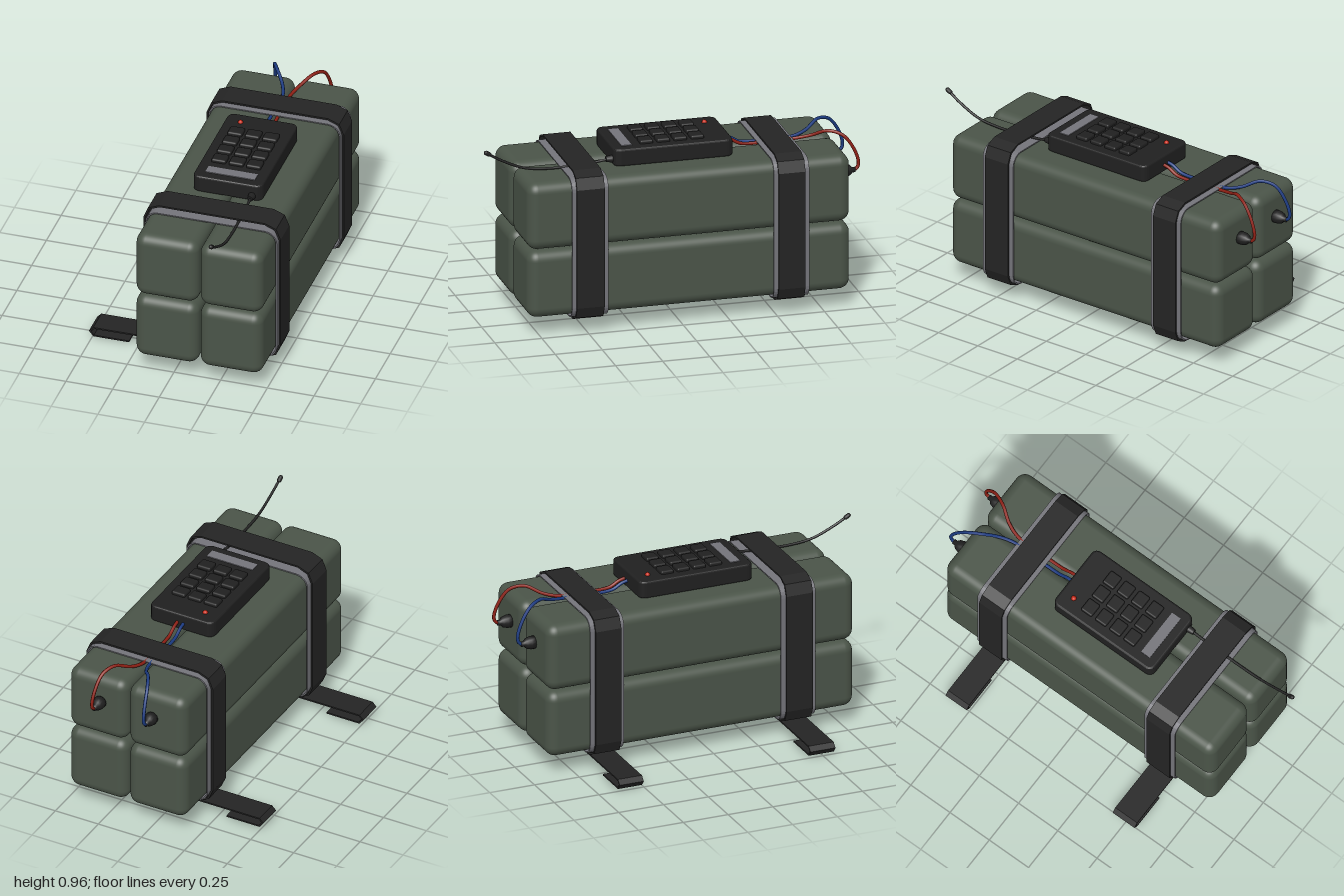
import * as THREE from 'three';
import { RoundedBoxGeometry } from 'three/addons/geometries/RoundedBoxGeometry.js';

const mat = (name, color) => Object.assign(new THREE.MeshStandardMaterial({ color }), { name });

// Points of a rectangle with rounded corners; n = segments per corner
function roundedRect(x0, x1, y0, y1, r, n) {
  const pts = [];
  const centres = [[x1 - r, y1 - r], [x0 + r, y1 - r], [x0 + r, y0 + r], [x1 - r, y0 + r]];
  centres.forEach(([cx, cy], c) => {
    for (let i = 0; i <= n; i++) {
      const a = (c + i / n) * Math.PI / 2;
      pts.push(new THREE.Vector2(cx + r * Math.cos(a), cy + r * Math.sin(a)));
    }
  });
  return pts;
}

// Thin band around the blocks, spanning z0..z1
function band(x0, x1, y0, y1, r, n, t, z0, z1) {
  const shape = new THREE.Shape(roundedRect(x0, x1, y0, y1, r, n));
  shape.holes.push(new THREE.Path(roundedRect(x0 + t, x1 - t, y0 + t, y1 - t, r - t * 0.6, n)));
  return new THREE.ExtrudeGeometry(shape, { depth: z1 - z0, bevelEnabled: false }).translate(0, 0, z0);
}

export function createModel() {
  const model = new THREE.Group();
  model.name = 'strappedBlockPack';
  const green = mat('olive green', 0x4a5448);
  const black = mat('strap black', 0x242424);
  const dark = mat('casing black', 0x202020);
  const grey = mat('liner grey', 0x74747a);
  const red = mat('wire red', 0x8c1f14);
  const blue = mat('wire blue', 0x1b3a80);
  const lamp = mat('lamp red', 0xc82a18);

  const add = (name, geo, material, x = 0, y = 0, z = 0, parent = model) => {
    const m = new THREE.Mesh(geo, material);
    m.name = name;
    m.position.set(x, y, z);
    parent.add(m);
    return m;
  };
  const tube = (name, pts, r, material) => add(name, new THREE.TubeGeometry(
    new THREE.CatmullRomCurve3(pts.map(p => new THREE.Vector3(...p))), 64, r, 8), material);

  // Four long blocks
  for (const x of [-0.026, 0.318])
    for (const y of [0.279, 0.647])
      add('block', new RoundedBoxGeometry(0.336, 0.361, 1.71, 5, 0.055), green, x, y, -0.04);

  // Two straps with liners, folded tails and studs
  for (const [label, z0, z1, top] of [['front', 0.42, 0.567, 0.87], ['rear', -0.645, -0.503, 0.857]]) {
    const strap = new THREE.Group();
    strap.name = label + 'Strap';
    model.add(strap);
    add('strapBand', band(-0.222, 0.513, 0.064, top, 0.083, 2, 0.009, z0, z1), black, 0, 0, 0, strap);
    add('strapLiner', band(-0.205, 0.5, 0.082, 0.838, 0.065, 6, 0.006, z0 - 0.024, z1 + 0.022), grey, 0, 0, 0, strap);
    // Tail folds back under itself at its end
    const tail = new THREE.Shape([
      [-0.06, 0.063], [-0.492, 0.063], [-0.515, 0.039], [-0.492, 0.01], [-0.3, 0.01],
      [-0.3, 0.018], [-0.488, 0.018], [-0.504, 0.039], [-0.488, 0.055], [-0.06, 0.055],
    ].map(p => new THREE.Vector2(...p)));
    add('strapTail', new THREE.ExtrudeGeometry(tail, { depth: z1 - z0 - 0.008, bevelEnabled: false }),
      black, 0, 0, z0 + 0.004, strap);
    add('strapStud', new THREE.CylinderGeometry(0.022, 0.017, 0.01, 8), dark, -0.36, 0.005, (z0 + z1) / 2, strap);
  }

  // Control box on top
  const box = new THREE.Group();
  box.name = 'controlBox';
  model.add(box);
  const plan = new THREE.Shape(roundedRect(-0.175, 0.175, -0.305, 0.305, 0.025, 4));
  const casing = new THREE.ExtrudeGeometry(plan, { depth: 0.072, bevelThickness: 0.01, bevelSize: 0.011, bevelSegments: 3 });
  add('casing', casing.rotateX(-Math.PI / 2), dark, 0.145, 0.838, 0, box);
  for (const x of [0.052, 0.145, 0.238])
    for (const z of [-0.14, -0.05, 0.04, 0.13])
      add('key', new RoundedBoxGeometry(0.077, 0.036, 0.069, 2, 0.009), dark, x, 0.92, z, box);
  add('display', new THREE.BoxGeometry(0.265, 0.006, 0.056), grey, 0.147, 0.921, 0.238, box);
  add('lamp', new THREE.SphereGeometry(0.014, 12, 8), lamp, 0.043, 0.92, -0.24, box);

  // Aerial running forward under the front strap
  add('aerialSocket', new THREE.CylinderGeometry(0.015, 0.021, 0.04, 12).rotateX(Math.PI / 2), dark, 0.28, 0.858, 0.33);
  tube('aerial', [[0.28, 0.858, 0.33], [0.28, 0.847, 0.41], [0.281, 0.839, 0.55], [0.281, 0.838, 0.66],
    [0.28, 0.852, 0.78], [0.276, 0.902, 0.9], [0.272, 0.942, 0.97]], 0.007, black);
  const tip = add('aerialTip', new THREE.CapsuleGeometry(0.012, 0.018, 4, 10), dark, 0.271, 0.945, 0.974);
  tip.rotation.x = Math.PI / 3;

  // Wires running back under the rear strap to the terminals
  for (const [name, x, endX, material] of [['redWire', 0.165, 0.295, red], ['blueWire', 0.13, -0.006, blue]]) {
    const at = t => x + (endX - x) * t;
    tube(name, [[x, 0.87, -0.3], [x, 0.86, -0.345], [x, 0.832, -0.4], [x, 0.829, -0.55], [x, 0.832, -0.68],
      [at(0.2), 0.85, -0.76], [at(0.6), 0.885, -0.84], [at(0.85), 0.865, -0.91], [at(0.96), 0.79, -0.965],
      [endX, 0.715, -0.987], [endX, 0.685, -0.975], [endX, 0.68, -0.93]], 0.009, material);
    const cap = new THREE.LatheGeometry([[0, 0], [0.034, 0], [0.034, 0.025], [0.027, 0.048], [0.014, 0.06], [0.014, 0.075], [0, 0.075]]
      .map(p => new THREE.Vector2(...p)), 16).rotateX(-Math.PI / 2);
    add('terminal', cap, dark, endX, 0.68, -0.893);
  }
  return model;
}
